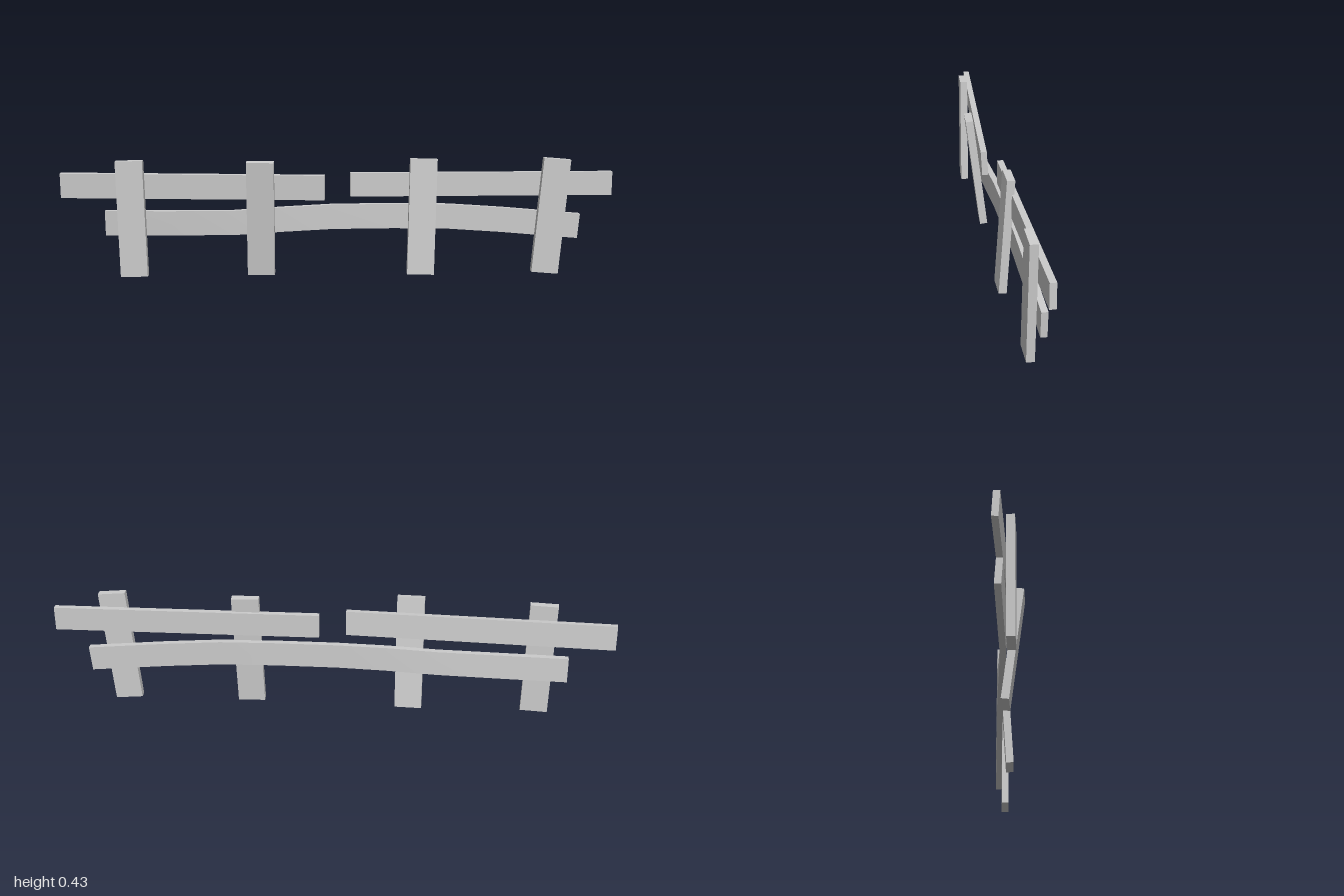
import * as THREE from 'three';
import { toCreasedNormals } from 'three/addons/utils/BufferGeometryUtils.js';

const material = new THREE.MeshStandardMaterial({ color: 0xcccccc });

// A straight board: size, centre and rotation
function board(name, size, position, rotation) {
  const mesh = new THREE.Mesh(new THREE.BoxGeometry(...size), material);
  mesh.name = name;
  mesh.position.set(...position);
  mesh.rotation.set(...rotation);
  return mesh;
}

// A bent board: rectangular sections [x, y, z, lean, roll] joined along x
function bentBoard(name, stations, height, depth) {
  const positions = [];
  const index = [];
  for (const [x, y, z, lean, roll] of stations) {
    for (const [v, w] of [[-1, 1], [1, 1], [1, -1], [-1, -1]]) {
      positions.push(x + v * lean, y + v * height / 2, z + w * depth / 2 + v * roll);
    }
  }
  for (let i = 0; i < stations.length - 1; i++) {
    for (let j = 0; j < 4; j++) {
      const a = i * 4 + j, b = i * 4 + (j + 1) % 4;
      index.push(a, a + 4, b, b, a + 4, b + 4);
    }
  }
  const e = (stations.length - 1) * 4;
  index.push(0, 1, 2, 0, 2, 3, e, e + 2, e + 1, e, e + 3, e + 2);
  const geometry = new THREE.BufferGeometry();
  geometry.setAttribute('position', new THREE.Float32BufferAttribute(positions, 3));
  geometry.setIndex(index);
  const mesh = new THREE.Mesh(toCreasedNormals(geometry, 0.6), material);
  mesh.name = name;
  return mesh;
}

export function createModel() {
  const group = new THREE.Group();
  group.name = 'fence';

  // Four crooked posts: centre x, centre z, forward lean, turn, sideways lean
  const posts = [
    [-0.743, 0.004, 0, -0.06, 0.022],
    [-0.28, 0.018, 0.125, -0.06, 0],
    [0.304, 0.002, -0.06, 0, -0.026],
    [0.774, 0.002, 0, 0, -0.085],
  ];
  posts.forEach(([x, z, lean, turn, tilt], i) => {
    group.add(board(`post${i + 1}`, [0.098, 0.422, 0.028], [x, 0.216, z], [lean, turn, tilt]));
  });

  // Two straight upper rails with a gap between them
  group.add(board('upperRailRight', [0.953, 0.09, 0.022], [-0.525, 0.33, -0.014], [0.06, -0.067, 0]));
  group.add(board('upperRailLeft', [0.955, 0.086, 0.022], [0.522, 0.332, -0.024], [0, 0, 0]));

  // One long bent lower rail
  group.add(bentBoard('lowerRail', [
    [-0.843, 0.195, -0.036, 0, 0.003],
    [-0.6, 0.195, -0.025, 0, 0.003],
    [-0.38, 0.196, -0.016, -0.002, 0.002],
    [-0.2, 0.207, -0.018, -0.004, 0.001],
    [-0.02, 0.215, -0.023, 0, 0],
    [0.2, 0.216, -0.024, 0, 0],
    [0.4, 0.213, -0.024, 0.003, 0],
    [0.6, 0.199, -0.024, 0.004, 0],
    [0.882, 0.174, -0.024, 0.004, 0],
  ], 0.09, 0.022));

  return group;
}
